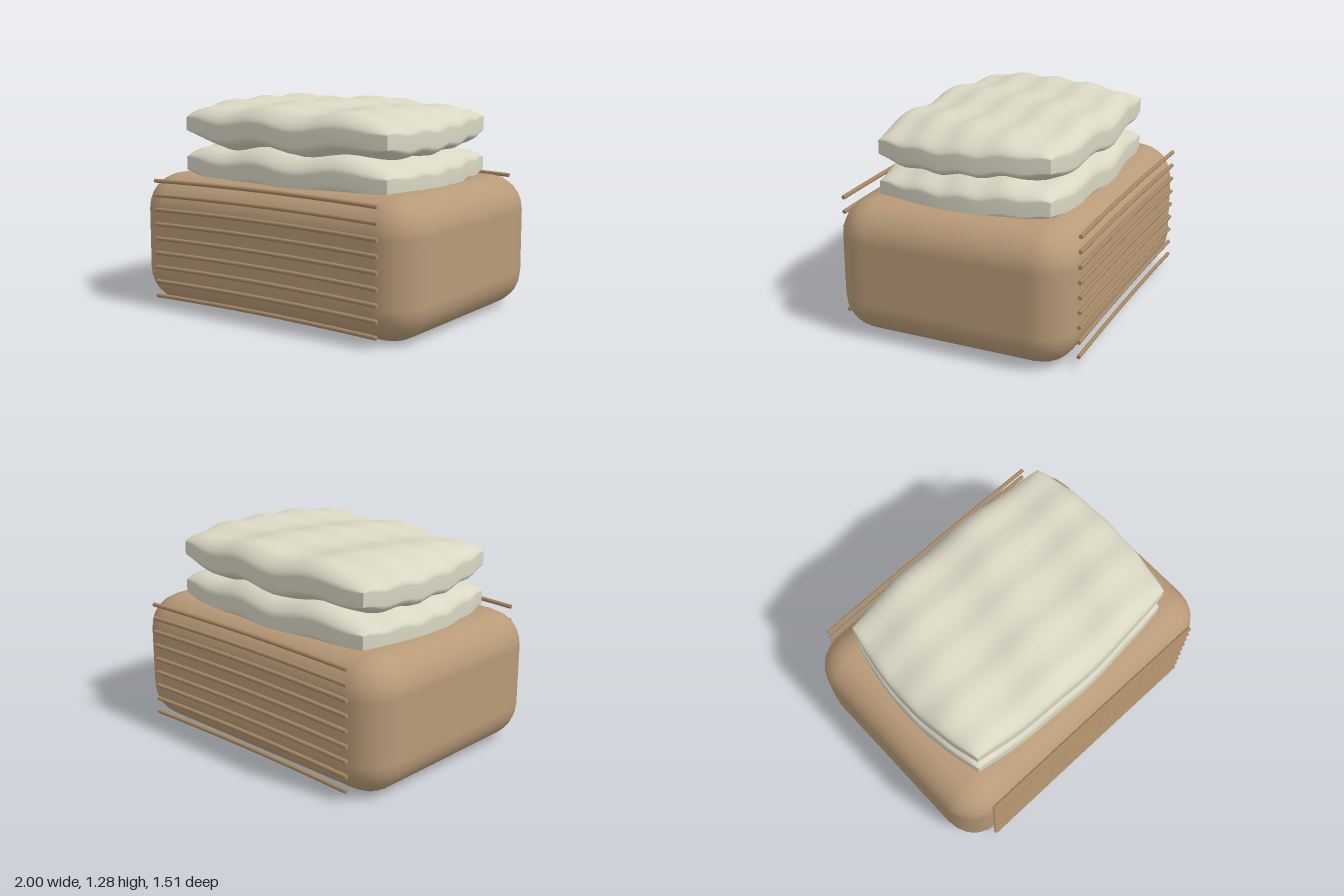
import * as THREE from 'three';
import { mergeVertices } from 'three/addons/utils/BufferGeometryUtils.js';
import { RoundedBoxGeometry } from 'three/addons/geometries/RoundedBoxGeometry.js';

const material = (name, color) => {
  const m = new THREE.MeshStandardMaterial({ color });
  m.name = name;
  return m;
};

// Move every vertex by a rule, then smooth across all faces.
function reshape(geometry, rule) {
  geometry.deleteAttribute('uv');
  geometry.deleteAttribute('normal');
  const merged = mergeVertices(geometry, 1e-4);
  const pos = merged.attributes.position;
  const p = new THREE.Vector3();
  for (let i = 0; i < pos.count; i++) {
    rule(p.fromBufferAttribute(pos, i));
    pos.setXYZ(i, p.x, p.y, p.z);
  }
  merged.computeVertexNormals();
  return merged;
}

// Plump pillow: barrel outline, thin soft rim, rippled all over.
function pillowGeometry() {
  return reshape(new THREE.BoxGeometry(2, 2, 2, 36, 1, 30), (p) => {
    const u = Math.sin(p.x * Math.PI / 2); // rows crowd toward the rim
    const v = Math.sin(p.z * Math.PI / 2);
    const x = 0.74 * u * (1 + 0.1 * (1 - v * v));
    const z = 0.535 * v * (1 + 0.11 * (1 - u * u));
    const fill = Math.sqrt(Math.max(0, (1 - u ** 4) * (1 - v ** 4)));
    const ripple = -0.02 * Math.cos(2 * Math.PI * (x + 0.27 + 0.32 * z) / 0.58)
      - 0.01 * Math.cos(2 * Math.PI * (z - 0.12) / 0.25);
    const calm = 1 - 0.4 * u * u * v * v; // weaker at the corners
    p.set(x, p.y * (0.04 + 0.11 * fill) + ripple * calm, z);
  });
}

// Thin rod along x, slightly arched upward.
function rodGeometry() {
  const g = new THREE.CylinderGeometry(0.013, 0.013, 1.63, 6, 10);
  g.rotateZ(Math.PI / 2);
  const pos = g.attributes.position;
  for (let i = 0; i < pos.count; i++) {
    const t = pos.getX(i) / 0.815;
    pos.setY(i, pos.getY(i) + 0.013 * (1 - t * t));
  }
  return g;
}

export function createModel() {
  const model = new THREE.Group();
  model.name = 'basketWithPillows';
  const tan = material('basket tan', 0xb89a78);
  const rodTan = material('rod tan', 0xa98a66);
  const cream = material('pillow cream', 0xd9d6c3);

  const add = (name, geometry, mat, x, y, z) => {
    const mesh = new THREE.Mesh(geometry, mat);
    mesh.name = name;
    mesh.position.set(x, y, z);
    model.add(mesh);
  };

  // Rounded basket body
  add('basketBody', new RoundedBoxGeometry(2, 0.815, 1.47, 3, 0.22), tan, 0, 0.4075, 0);

  // Woven bands on the front and back
  const rod = rodGeometry();
  for (let i = 0; i < 9; i++) {
    const y = 0.067 + i * 0.0895;
    add('frontBand', rod, rodTan, 0, y, 0.742);
    add('backBand', rod, rodTan, 0, y, -0.742);
  }

  // Two stacked pillows
  const pillow = pillowGeometry();
  add('lowerPillow', pillow, cream, 0, 0.86, 0);
  add('upperPillow', pillow, cream, 0, 1.105, 0);

  return model;
}
